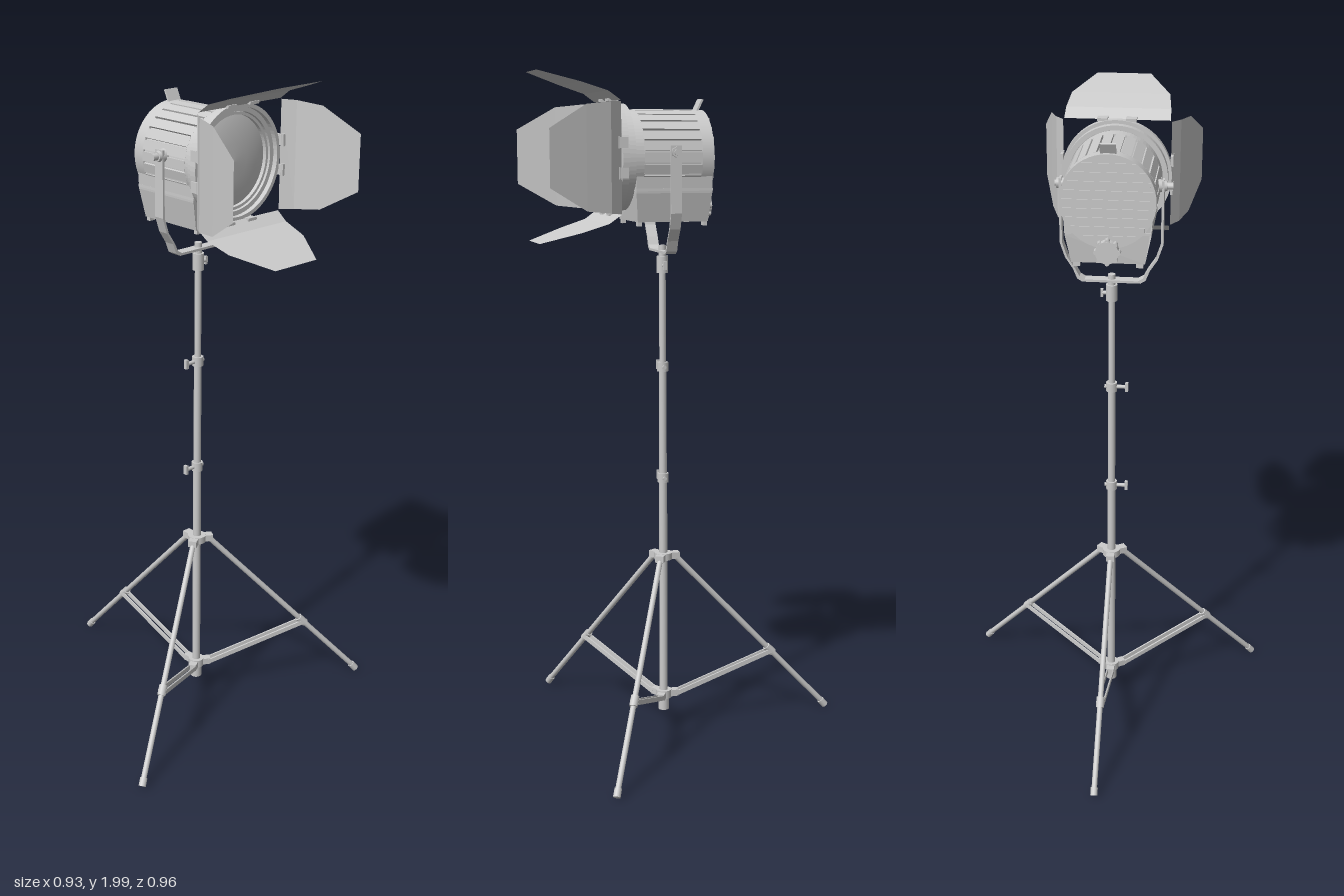
import * as THREE from 'three';

const grey = new THREE.MeshStandardMaterial({ color: 0xcccccc });
const sheet = new THREE.MeshStandardMaterial({ color: 0xcccccc, side: THREE.DoubleSide });
const white = new THREE.MeshStandardMaterial({ color: 0xffffff });

const POST_X = 0.083, AXIS_Y = 1.757;

function add(parent, name, geo, pos = [0, 0, 0], mat = grey) {
  const m = new THREE.Mesh(geo, mat);
  m.name = name;
  m.position.set(...pos);
  parent.add(m);
  return m;
}

function group(parent, name, pos = [0, 0, 0]) {
  const g = new THREE.Group();
  g.name = name;
  g.position.set(...pos);
  parent.add(g);
  return g;
}

// Cylinder or bar running from a to b
function rod(parent, name, a, b, r, sides = 14, r2 = r) {
  const p = new THREE.Vector3(...a), q = new THREE.Vector3(...b);
  const d = q.clone().sub(p);
  const m = add(parent, name, new THREE.CylinderGeometry(r2, r, d.length(), sides));
  m.position.copy(p).add(q).multiplyScalar(0.5);
  m.quaternion.setFromUnitVectors(new THREE.Vector3(0, 1, 0), d.normalize());
  return m;
}

// Ring with a rectangular section, its axis along x
function ringX(parent, name, x0, x1, inner, outer, mat = grey) {
  const s = new THREE.Shape().absarc(0, 0, outer, 0, Math.PI * 2);
  s.holes.push(new THREE.Path().absarc(0, 0, inner, 0, Math.PI * 2, true));
  const g = new THREE.ExtrudeGeometry(s, { depth: x1 - x0, bevelEnabled: false, curveSegments: 40 });
  g.rotateY(Math.PI / 2);
  return add(parent, name, g, [x0, 0, 0], mat);
}

// Folded sheet with tapered end, lying above the lamp axis
function leafGeometry() {
  const rows = [[0.245, 0.158, 0.155], [0.28, 0.183, 0.153], [0.355, 0.207, 0.145], [0.465, 0.24, 0.08]];
  const pos = [], idx = [];
  rows.forEach(([x, r, w], i) => {
    pos.push(x, r, -w, x, r, w);
    if (i) {
      const k = 2 * i;
      idx.push(k - 2, k - 1, k, k - 1, k + 1, k);
    }
  });
  const g = new THREE.BufferGeometry();
  g.setAttribute('position', new THREE.Float32BufferAttribute(pos, 3));
  g.setIndex(idx);
  const flat = g.toNonIndexed();
  flat.computeVertexNormals();
  return flat;
}

function buildStand(root) {
  const stand = group(root, 'stand', [POST_X, 0, 0]);

  // Telescopic column
  rod(stand, 'lowerColumn', [0, 0.065, 0], [0, 0.8, 0], 0.0125);
  rod(stand, 'middleColumn', [0, 0.8, 0], [0, 1.14, 0], 0.0115);
  rod(stand, 'upperColumn', [0, 1.14, 0], [0, 1.43, 0], 0.01);
  for (const y of [0.8, 1.14]) {
    const clamp = group(stand, 'columnClamp', [0, y, 0]);
    rod(clamp, 'collar', [0, -0.014, 0], [0, 0.014, 0], 0.017);
    rod(clamp, 'screw', [0, 0, -0.022], [0, 0, 0.045], 0.006, 10);
    add(clamp, 'lever', new THREE.BoxGeometry(0.012, 0.028, 0.009), [0, 0, 0.046]);
  }

  // Hubs
  rod(stand, 'upperHub', [0, 0.545, 0], [0, 0.566, 0], 0.028, 20);
  rod(stand, 'lowerHub', [0, 0.1, 0], [0, 0.125, 0], 0.024, 20);
  rod(stand, 'columnFoot', [0, 0.062, 0], [0, 0.1, 0], 0.017, 16);

  // Three legs, each with a brace
  for (let i = 0; i < 3; i++) {
    const leg = group(stand, 'leg');
    leg.rotation.y = Math.PI + i * Math.PI * 2 / 3;
    add(leg, 'legBracket', new THREE.BoxGeometry(0.03, 0.02, 0.026), [0.034, 0.555, 0]);
    rod(leg, 'legTube', [0.035, 0.555, 0], [0.54, 0.014, 0], 0.0085, 12);
    rod(leg, 'legFoot', [0.525, 0.03, 0], [0.541, 0.011, 0], 0.011, 12);
    rod(leg, 'legSleeve', [0.338, 0.23, 0], [0.36, 0.207, 0], 0.0125, 12);
    add(leg, 'braceBracket', new THREE.BoxGeometry(0.03, 0.02, 0.024), [0.03, 0.112, 0]);
    for (const z of [-0.01, 0.01]) {
      const bar = add(leg, 'brace', new THREE.BoxGeometry(0.33, 0.014, 0.005), [0.195, 0.163, z]);
      bar.rotation.z = Math.atan2(0.105, 0.31);
    }
  }

  // Spigot clamp under the yoke
  rod(stand, 'headSocket', [0, 1.42, 0], [0, 1.47, 0], 0.017, 16);
  rod(stand, 'headPin', [0, 1.47, 0], [0, 1.502, 0], 0.011);
  rod(stand, 'headScrew', [0, 1.443, 0], [0, 1.443, -0.028], 0.006, 10);
  add(stand, 'headLever', new THREE.BoxGeometry(0.01, 0.024, 0.008), [0, 1.443, -0.029]);
}

function buildYoke(root) {
  const yoke = group(root, 'yoke', [POST_X, 0, 0]);
  // Bent strap: outer outline and the inner one offset by its thickness
  const half = [[0.15, 1.79], [0.15, 1.6], [0.135, 1.555], [0.112, 1.52], [0.1, 1.49], [0.085, 1.481]];
  const t = 0.007;
  const outer = [...half, ...half.map(([z, y]) => [-z, y]).reverse()];
  const inner = outer.map(([z, y]) => [z - Math.sign(z) * t, y < 1.5 ? y + t : y]).reverse();
  const shape = new THREE.Shape([...outer, ...inner].map(([z, y]) => new THREE.Vector2(z, y)));
  const g = new THREE.ExtrudeGeometry(shape, { depth: 0.032, bevelEnabled: false });
  g.rotateY(-Math.PI / 2);
  add(yoke, 'yokeStrap', g, [0.016, 0, 0]);
  // Pivot bolt on one side, tilt knob on the other
  rod(yoke, 'pivotBolt', [0, 1.772, -0.13], [0, 1.772, -0.158], 0.016, 6);
  rod(yoke, 'pivotNut', [0, 1.772, -0.155], [0, 1.772, -0.163], 0.009, 10);
  rod(yoke, 'tiltKnob', [0, 1.772, 0.13], [0, 1.772, 0.158], 0.02, 16, 0.014);
  rod(yoke, 'tiltKnobGrip', [0, 1.772, 0.156], [0, 1.772, 0.175], 0.01, 12);
}

function buildHead(root) {
  const head = group(root, 'lampHead', [0, AXIS_Y, 0]);

  // Drum: rear cap, slatted middle, front rim
  rod(head, 'rearCap', [-0.034, 0, 0], [0.002, 0, 0], 0.136, 48);
  rod(head, 'drumCore', [0, 0, 0], [0.172, 0, 0], 0.129, 48);
  ringX(head, 'frontRim', 0.17, 0.22, 0.128, 0.136);
  const slats = 26;
  for (let i = 0; i < slats; i++) {
    const a = (i + 0.5) / slats * Math.PI * 2;
    const s = add(head, 'coolingSlat', new THREE.BoxGeometry(0.172, 0.007, 0.027),
      [0.086, Math.cos(a) * 0.1325, Math.sin(a) * 0.1325]);
    s.rotation.x = a;
  }
  // Horizontal louvres on the rear face
  for (let i = -4; i <= 4; i++) {
    const y = i * 0.026;
    add(head, 'rearLouvre', new THREE.BoxGeometry(0.006, 0.014, 2 * Math.sqrt(0.0169 - y * y)), [-0.034, y, 0]);
  }
  // Sight fin
  const fin = add(head, 'rearFin', new THREE.BoxGeometry(0.006, 0.045, 0.045), [-0.024, 0.145, 0]);
  fin.rotation.z = 0.45;

  // Base housing below the drum, narrowing downwards
  const base = new THREE.Shape([[-0.126, -0.04], [-0.122, -0.1], [-0.105, -0.182], [0.105, -0.182], [0.122, -0.1], [0.126, -0.04]]
    .map(([z, y]) => new THREE.Vector2(z, y)));
  const bg = new THREE.ExtrudeGeometry(base, { depth: 0.225, bevelEnabled: false });
  bg.rotateY(Math.PI / 2);
  const bp = bg.attributes.position;
  for (let i = 0; i < bp.count; i++) {
    if (bp.getY(i) < -0.15) bp.setX(i, 0.1125 + (bp.getX(i) - 0.1125) * 0.93);
  }
  bg.computeVertexNormals();
  add(head, 'baseHousing', bg, [-0.032, 0, 0]);
  add(head, 'baseTrim', new THREE.BoxGeometry(0.228, 0.008, 0.246), [0.08, -0.09, 0]);
  for (const x of [-0.018, 0.178]) {
    for (const z of [-0.09, 0.09]) add(head, 'baseTab', new THREE.BoxGeometry(0.012, 0.02, 0.02), [x, -0.184, z]);
  }
  // Focus knob with a scalloped edge
  rod(head, 'focusShaft', [-0.045, -0.14, 0], [-0.02, -0.14, 0], 0.018);
  rod(head, 'focusKnob', [-0.06, -0.14, 0], [-0.037, -0.14, 0], 0.033, 24);
  for (let i = 0; i < 8; i++) {
    const a = i * Math.PI / 4, y = -0.14 + Math.cos(a) * 0.032, z = Math.sin(a) * 0.032;
    rod(head, 'focusKnobGrip', [-0.059, y, z], [-0.038, y, z], 0.007, 8);
  }

  // Slightly domed lens and its retaining ring
  const lens = new THREE.LatheGeometry([[0.14, 0], [0.12, 0.006], [0.09, 0.012], [0.05, 0.017], [0, 0.019]]
    .map(([r, x]) => new THREE.Vector2(r, x)), 48);
  lens.rotateZ(-Math.PI / 2);
  add(head, 'lens', lens, [0.205, 0, 0], sheet);
  ringX(head, 'lensRing', 0.2, 0.226, 0.138, 0.152);
  ringX(head, 'leafRing', 0.221, 0.241, 0.151, 0.162, white);

  // Four folding leaves with hinges
  const leafGeo = leafGeometry();
  for (let i = 0; i < 4; i++) {
    const door = group(head, 'leafAssembly');
    door.rotation.x = i * Math.PI / 2;
    add(door, 'leaf', leafGeo, [0, 0, 0], sheet);
    for (const z of [-0.042, 0.042]) {
      add(door, 'hingeTab', new THREE.BoxGeometry(0.032, 0.008, 0.03), [0.242, 0.161, z]);
      rod(door, 'hingePin', [0.253, 0.161, z - 0.017], [0.253, 0.161, z + 0.017], 0.005, 8);
    }
  }
}

export function createModel() {
  const model = new THREE.Group();
  model.name = 'studioLamp';
  const root = group(model, 'lampAssembly', [0, 0, -0.004]);
  buildStand(root);
  buildYoke(root);
  buildHead(root);
  return model;
}
